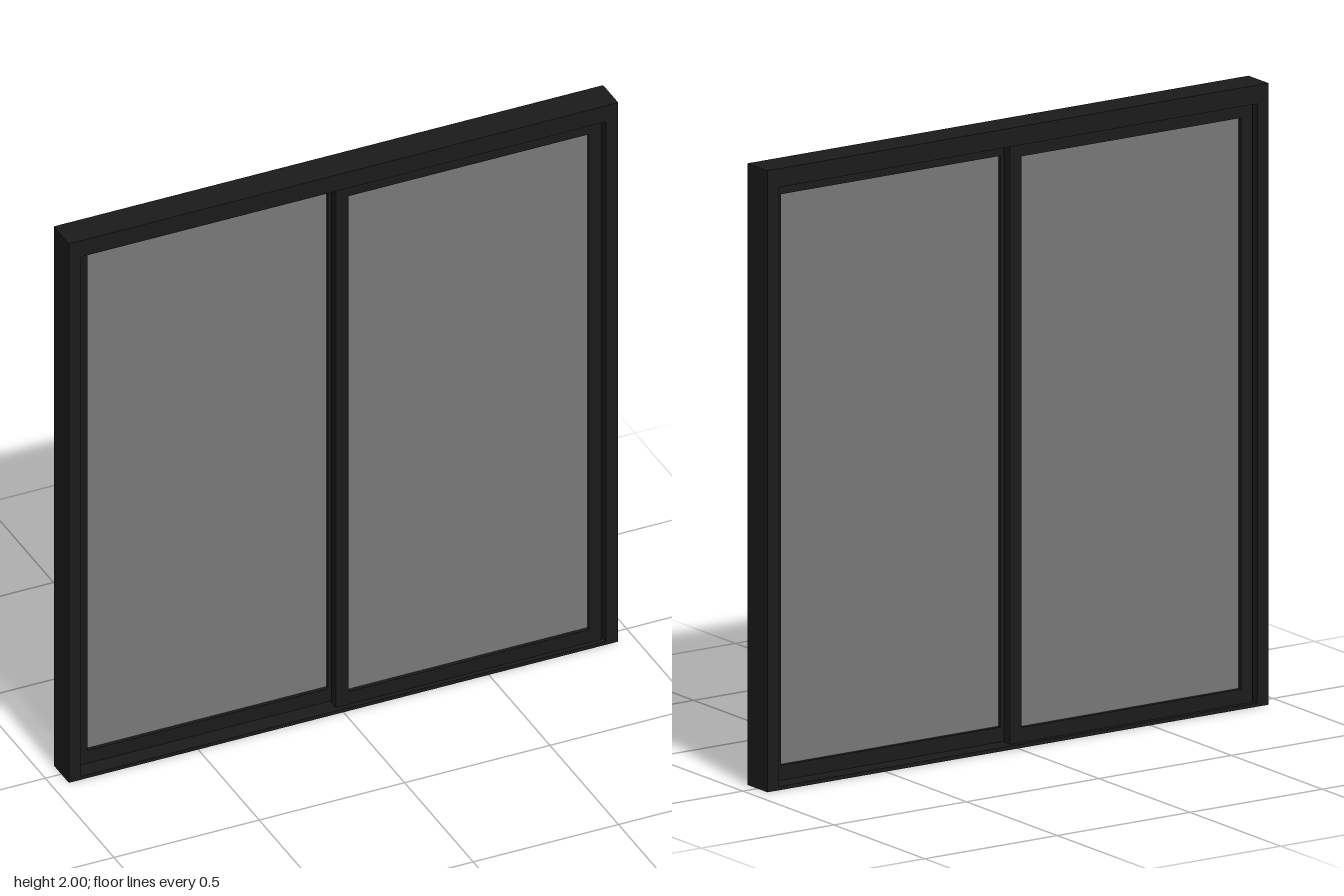
import * as THREE from 'three';

const black = new THREE.MeshStandardMaterial({ color: 0x1a1a1a });
const grey = new THREE.MeshStandardMaterial({ color: 0x777777 });

// Box given by its minimum and maximum corners
function box(name, x0, x1, y0, y1, z0, z1, material = black) {
  const mesh = new THREE.Mesh(new THREE.BoxGeometry(x1 - x0, y1 - y0, z1 - z0), material);
  mesh.position.set((x0 + x1) / 2, (y0 + y1) / 2, (z0 + z1) / 2);
  mesh.name = name;
  return mesh;
}

// Fixed surround: head, sill and two jambs
function createFrame() {
  const W = 0.945, D = 0.055, jamb = 0.042, head = 1.94, sill = 0.012;
  const frame = new THREE.Group();
  frame.name = 'outerFrame';
  frame.add(
    box('head', -W, W, head, 2, -D, D),
    box('sill', -W, W, 0, sill, -D, D),
    box('rightJamb', -W, -W + jamb, sill, head, -D, D),
    box('leftJamb', W - jamb, W, sill, head, -D, D),
  );
  return frame;
}

// Sliding panel: stiles, rails and a thin pane
function createSash(name) {
  const x0 = -0.018, x1 = 0.896, y0 = 0.012, y1 = 1.94;
  const stile = 0.043, bottom = 0.06, top = 1.898;
  const z0 = 0.004, z1 = 0.038;
  const sash = new THREE.Group();
  sash.name = name;
  sash.add(
    box('meetingStile', x0, x0 + stile, y0, y1, z0, z1),
    box('outerStile', x1 - stile, x1, y0, y1, z0, z1),
    box('bottomRail', x0 + stile, x1 - stile, y0, bottom, z0, z1),
    box('topRail', x0 + stile, x1 - stile, top, y1, z0, z1),
    box('glassPane', x0 + stile, x1 - stile, bottom, top, 0.017, 0.025, grey),
  );
  return sash;
}

export function createModel() {
  const model = new THREE.Group();
  model.name = 'slidingDoor';
  // The rear panel is the front one turned half round
  const rear = createSash('rearSash');
  rear.rotation.y = Math.PI;
  model.add(createFrame(), createSash('frontSash'), rear);
  return model;
}
